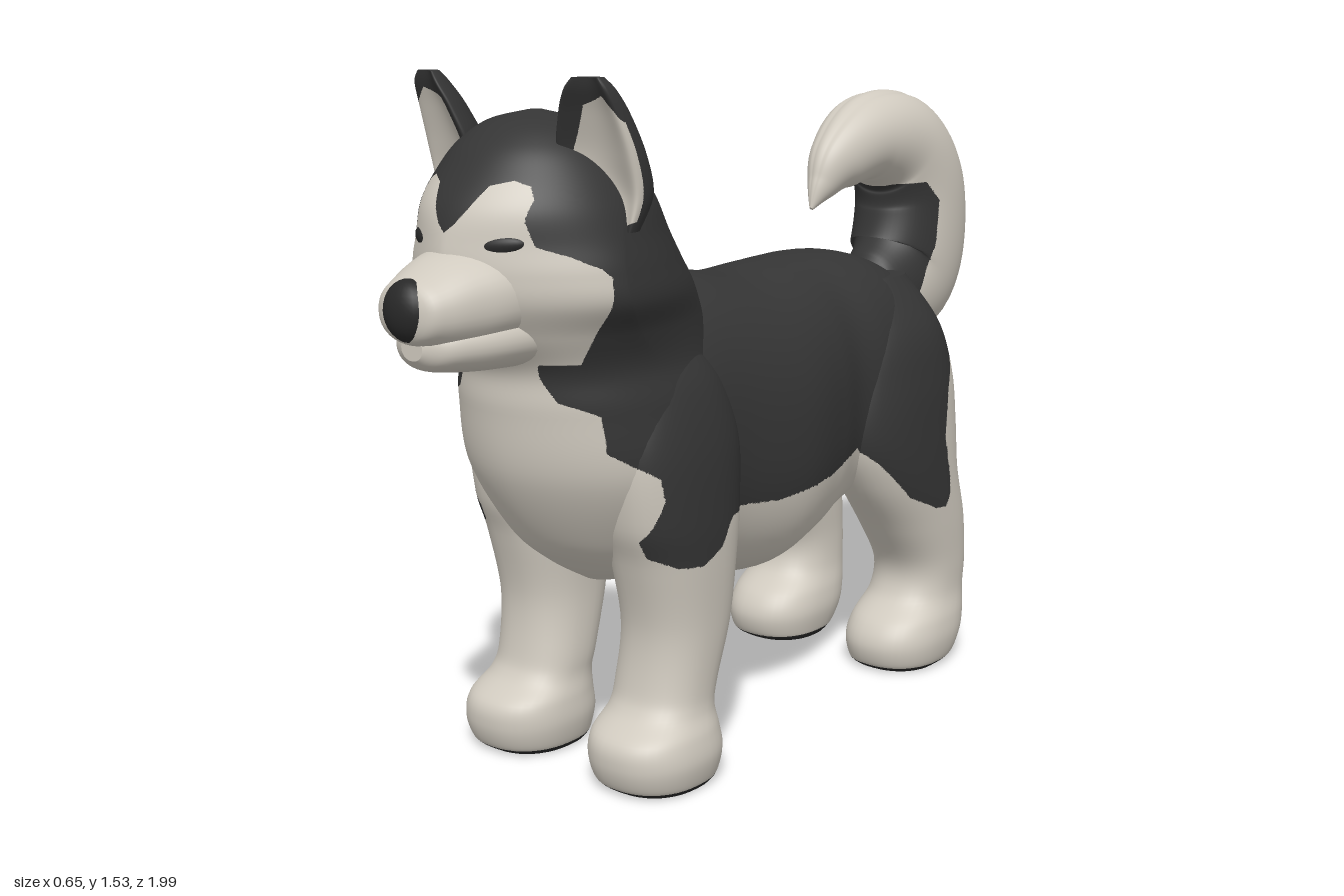
import * as THREE from 'three';

const mat = (name, color) => Object.assign(new THREE.MeshStandardMaterial({ color }), { name });

// Smooth interpolation through rows of numbers, t from 0 to 1
function sample(rows, t) {
  const f = t * (rows.length - 1), i = Math.min(Math.floor(f), rows.length - 2), u = f - i;
  const row = k => rows[Math.max(0, Math.min(rows.length - 1, k))];
  return row(i).map((b, k) => {
    const a = row(i - 1)[k], c = row(i + 1)[k], d = row(i + 2)[k];
    return b + 0.5 * u * (c - a + u * (2 * a - 5 * b + 4 * c - d + u * (3 * (b - c) + d - a)));
  });
}

// Rounded-square cosine and sine for fuller or sharper cross-sections
const soft = (v, n) => Math.sign(v) * Math.abs(v) ** (2 / n);

function inside(poly, x, y) {
  let hit = false;
  for (let i = 0, j = poly.length - 1; i < poly.length; j = i++) {
    const [ax, ay] = poly[i], [bx, by] = poly[j];
    if (ay > y !== by > y && x < ((bx - ax) * (y - ay)) / (by - ay) + ax) hit = !hit;
  }
  return hit;
}

// Closed skin over rings; rule(x, y, z, sine of ring angle) picks the material
function loft(name, materials, along, around, ring, rule) {
  const verts = [], tris = [];
  const addRing = t => {
    for (let j = 0; j < around; j++) {
      const a = (j / around) * Math.PI * 2;
      verts.push([...ring(t, a), Math.sin(a)]);
    }
  };
  for (let i = 0; i <= along; i++) addRing(i / along);
  for (let i = 0; i < along; i++) for (let j = 0; j < around; j++) {
    const k = (j + 1) % around, a = i * around + j, b = i * around + k;
    tris.push([a, b, a + around], [b, b + around, a + around]);
  }
  // End caps have their own ring so the rim stays crisp
  for (const t of [0, 1]) {
    const start = verts.length;
    addRing(t);
    verts.push([0, 1, 2, 3].map(k => verts.slice(start).reduce((s, v) => s + v[k], 0) / around));
    for (let j = 0; j < around; j++) {
      const a = start + j, b = start + ((j + 1) % around);
      tris.push(t ? [a, b, start + around] : [b, a, start + around]);
    }
  }
  // Face outwards: flip all corners when the enclosed volume is negative
  const P = i => new THREE.Vector3(...verts[i].slice(0, 3));
  let volume = 0;
  for (const [a, b, c] of tris) volume += P(a).dot(P(b).cross(P(c)));
  if (volume < 0) tris.forEach(t => t.reverse());
  const base = new THREE.BufferGeometry();
  base.setAttribute('position', new THREE.Float32BufferAttribute(verts.flatMap(v => v.slice(0, 3)), 3));
  base.setIndex(tris.flat());
  base.computeVertexNormals();
  verts.forEach((v, i) => v.push(...base.attributes.normal.array.slice(i * 3, i * 3 + 3)));

  // Split faces that straddle a colour border so the border runs clean
  const lists = materials.map(() => []);
  const middle = (a, b) => verts.push(verts[a].map((v, k) => (v + verts[b][k]) / 2)) - 1;
  const paint = (a, b, c, depth) => {
    const [ma, mb, mc] = [a, b, c].map(i => rule(...verts[i]));
    if (depth === 0 || (ma === mb && mb === mc)) {
      lists[mb === mc ? mb : ma].push(a, b, c);
      return;
    }
    const ab = middle(a, b), bc = middle(b, c), ca = middle(c, a);
    for (const t of [[a, ab, ca], [ab, b, bc], [ca, bc, c], [ab, bc, ca]]) paint(...t, depth - 1);
  };
  for (const t of tris) paint(...t, 3);
  const g = new THREE.BufferGeometry();
  g.setAttribute('position', new THREE.Float32BufferAttribute(verts.flatMap(v => v.slice(0, 3)), 3));
  g.setAttribute('normal', new THREE.Float32BufferAttribute(verts.flatMap(v => v.slice(4)), 3));
  g.setIndex(lists.flat());
  let start = 0;
  lists.forEach((l, i) => { if (l.length) g.addGroup(start, l.length, i); start += l.length; });
  const mesh = new THREE.Mesh(g, materials);
  mesh.name = name;
  return mesh;
}

// Ring makers: rows [z, yLow, yHigh, halfWidth] and rows [y, zBack, zFront, xInner, xOuter]
const lengthwise = (rows, n) => (t, a) => {
  const [z, y0, y1, w] = sample(rows, t);
  return [w * soft(Math.cos(a), n), (y0 + y1) / 2 + ((y1 - y0) / 2) * soft(Math.sin(a), n), z];
};
const upright = (rows, side, n) => (t, a) => {
  const [y, z0, z1, x0, x1] = sample(rows, t);
  return [side * ((x0 + x1) / 2 + ((x1 - x0) / 2) * soft(Math.cos(a), n)), y,
    (z0 + z1) / 2 + ((z1 - z0) / 2) * soft(Math.sin(a), n)];
};

// Dark saddle seen from the side (z, y)
const coat = [[0.7, 1.6], [0.72, 0.96], [0.69, 0.88], [0.63, 0.85], [0.62, 0.77], [0.53, 0.71], [0.52, 0.66],
  [0.55, 0.57], [0.53, 0.53], [0.48, 0.505], [0.42, 0.5], [0.36, 0.53], [0.32, 0.59], [0.1, 0.57], [-0.1, 0.59],
  [-0.24, 0.62], [-0.3, 0.57], [-0.4, 0.47], [-0.5, 0.425], [-0.545, 0.42], [-0.565, 0.45], [-0.565, 0.5],
  [-0.54, 0.6], [-0.57, 0.72], [-0.62, 0.79], [-0.67, 0.85], [-0.75, 1.6]];
// Pale face mask seen from the front (|x|, y)
const mask = [[-0.01, 0.9], [0.2, 0.95], [0.25, 1.0], [0.31, 1.08], [0.285, 1.13], [0.26, 1.165], [0.22, 1.19],
  [0.17, 1.21], [0.15, 1.26], [0.155, 1.3], [0.14, 1.325], [0.11, 1.335], [0.07, 1.325], [0.045, 1.28],
  [0.022, 1.25], [-0.01, 1.225]];
// Pale inside of the ear seen from the front (|x|, y)
const earPatch = [[0.15, 1.37], [0.2, 1.48], [0.25, 1.5], [0.275, 1.47], [0.31, 1.4], [0.31, 1.26], [0.25, 1.24],
  [0.2, 1.3]];
// Dark patch at the root of the tail (z, y)
const tailPatch = [[-0.4, 0.95], [-0.6, 1.17], [-0.66, 1.205], [-0.72, 1.21], [-0.765, 1.16], [-0.755, 1.05],
  [-0.71, 0.94], [-0.65, 0.8], [-0.4, 0.8]];

export function createModel() {
  const cream = mat('cream fur', 0xd0cabf), dark = mat('dark fur', 0x353535), black = mat('black skin', 0x282828);
  const fur = [cream, dark, black];
  const dog = new THREE.Group();
  dog.name = 'dog';
  const coatRule = (x, y, z) => (inside(coat, z, y) ? 1 : 0);

  dog.add(loft('torso', fur, 100, 80, lengthwise([
    [0.55, 0.62, 0.95, 0.14], [0.45, 0.48, 1.02, 0.23], [0.35, 0.41, 1.07, 0.255], [0.2, 0.375, 1.085, 0.265],
    [0, 0.34, 1.055, 0.29], [-0.15, 0.365, 1.06, 0.27], [-0.25, 0.4, 1.065, 0.25], [-0.35, 0.45, 1.065, 0.26],
    [-0.45, 0.52, 1.055, 0.25], [-0.55, 0.6, 1.02, 0.22], [-0.63, 0.68, 0.95, 0.16], [-0.68, 0.77, 0.87, 0.04],
  ], 2.3), coatRule));

  // Chest, neck and skull: [y, zBack, zWidest, zFront, halfWidth, front roundness]
  const headRows = [
    [0.42, 0.36, 0.4, 0.45, 0.05, 2], [0.47, 0.3, 0.4, 0.53, 0.14, 2], [0.55, 0.26, 0.41, 0.62, 0.21, 1.9],
    [0.7, 0.2, 0.43, 0.705, 0.28, 1.9], [0.85, 0.16, 0.45, 0.73, 0.27, 2], [0.94, 0.16, 0.48, 0.74, 0.25, 2],
    [1.02, 0.18, 0.56, 0.81, 0.262, 1.65], [1.09, 0.225, 0.62, 0.855, 0.288, 1.5],
    [1.15, 0.27, 0.63, 0.865, 0.283, 1.5], [1.21, 0.31, 0.62, 0.86, 0.267, 1.55],
    [1.28, 0.35, 0.6, 0.84, 0.245, 1.75], [1.35, 0.4, 0.59, 0.79, 0.205, 1.9], [1.4, 0.45, 0.59, 0.745, 0.16, 2],
    [1.44, 0.51, 0.59, 0.685, 0.1, 2], [1.46, 0.575, 0.59, 0.61, 0.015, 2],
  ];
  dog.add(loft('chestNeckAndHead', fur, 120, 100, (t, a) => {
    const [y, zb, zm, zf, w, n] = sample(headRows, t), s = Math.sin(a), e = s > 0 ? n : 2.1;
    return [w * soft(Math.cos(a), e), y, zm + (s > 0 ? zf - zm : zm - zb) * soft(s, e)];
  }, (x, y, z) => {
    if (y < 0.96) return coatRule(x, y, z);
    return z > 0.665 && inside(mask, Math.abs(x), y) ? 0 : 1;
  }));

  // Muzzle resting on a jaw, with a slight crease for the mouth
  dog.add(loft('muzzle', fur, 24, 40, lengthwise([
    [0.7, 1.01, 1.2, 0.16], [0.8, 1.005, 1.205, 0.145], [0.87, 1.005, 1.19, 0.122], [0.93, 1.015, 1.162, 0.098],
    [0.965, 1.03, 1.142, 0.075], [0.98, 1.06, 1.11, 0.03],
  ], 2.2), () => 0));
  dog.add(loft('lowerJaw', fur, 20, 36, lengthwise([
    [0.68, 0.945, 1.1, 0.15], [0.8, 0.95, 1.09, 0.13], [0.88, 0.958, 1.075, 0.1], [0.925, 0.968, 1.06, 0.072],
    [0.95, 0.99, 1.04, 0.03],
  ], 2.1), () => 0));

  const ball = (name, material, p, s, yaw = 0, roll = 0) => {
    const m = new THREE.Mesh(new THREE.SphereGeometry(1, 24, 16), material);
    m.name = name;
    m.position.set(...p);
    m.scale.set(...s);
    m.rotation.set(0, yaw, roll);
    dog.add(m);
  };
  ball('nose', black, [0, 1.09, 0.95], [0.062, 0.064, 0.045]);

  const frontRows = [
    [0, 0.32, 0.56, 0.08, 0.3], [0.02, 0.31, 0.585, 0.065, 0.315], [0.07, 0.3, 0.6, 0.055, 0.325],
    [0.12, 0.305, 0.59, 0.06, 0.315], [0.165, 0.31, 0.53, 0.07, 0.295], [0.22, 0.295, 0.505, 0.07, 0.29],
    [0.35, 0.25, 0.495, 0.075, 0.295], [0.5, 0.23, 0.53, 0.07, 0.305], [0.6, 0.22, 0.565, 0.08, 0.308],
    [0.75, 0.22, 0.58, 0.1, 0.3], [0.88, 0.26, 0.55, 0.1, 0.27], [0.97, 0.33, 0.5, 0.12, 0.22],
  ];
  const hindRows = [
    [0, -0.63, -0.41, 0.08, 0.29], [0.02, -0.67, -0.385, 0.07, 0.31], [0.07, -0.7, -0.375, 0.06, 0.32],
    [0.12, -0.715, -0.4, 0.065, 0.315], [0.18, -0.72, -0.47, 0.08, 0.3], [0.26, -0.725, -0.48, 0.085, 0.3],
    [0.37, -0.72, -0.405, 0.08, 0.305], [0.5, -0.69, -0.3, 0.08, 0.308], [0.62, -0.69, -0.24, 0.07, 0.305],
    [0.75, -0.68, -0.25, 0.06, 0.295], [0.88, -0.64, -0.3, 0.06, 0.265], [1.0, -0.57, -0.4, 0.08, 0.18],
  ];
  const earRows = [
    [1.23, 0.57, 0.65, 0.23, 0.275], [1.3, 0.53, 0.68, 0.16, 0.292], [1.38, 0.55, 0.705, 0.125, 0.294],
    [1.46, 0.59, 0.72, 0.148, 0.284], [1.51, 0.625, 0.725, 0.175, 0.272], [1.535, 0.65, 0.71, 0.195, 0.255],
  ];
  const legRule = (x, y, z) => {
    if (y < 0.014) return 2;
    return (Math.abs(x) > 0.15 || y > 0.74) && inside(coat, z, y) ? 1 : 0;
  };

  for (const side of [1, -1]) {
    const label = side > 0 ? 'left' : 'right';
    dog.add(loft(label + 'FrontLeg', fur, 72, 40, upright(frontRows, side, 2.3), legRule));
    dog.add(loft(label + 'HindLeg', fur, 72, 40, upright(hindRows, side, 2.3), legRule));
    // Ear with a dished pale front, turned slightly outwards
    dog.add(loft(label + 'Ear', fur, 32, 48, (t, a) => {
      const [y, z0, z1, x0, x1] = sample(earRows, t), s = Math.sin(a), h = (x1 - x0) / 2, d = (z1 - z0) / 2;
      const dx = h * Math.cos(a), dish = 1.1 * Math.max(0, s) ** 2;
      return [side * ((x0 + x1) / 2 + dx), y, (z0 + z1) / 2 + d * (s - dish) - dx * 0.25];
    }, (x, y, z, s) => (s > 0.05 && inside(earPatch, Math.abs(x), y) ? 0 : 1)));
    ball(label + 'Eye', black, [side * 0.108, 1.211, 0.806], [0.052, 0.02, 0.016], side * 0.5, side * 0.1);
  }

  // Curled tail: [z, y, radius in the curl plane, half width]
  const tailRows = [
    [-0.55, 0.9, 0.08, 0.07], [-0.65, 0.91, 0.125, 0.1], [-0.79, 0.975, 0.185, 0.128], [-0.82, 1.16, 0.165, 0.135],
    [-0.745, 1.29, 0.14, 0.128], [-0.605, 1.325, 0.11, 0.108], [-0.48, 1.275, 0.08, 0.07],
    [-0.415, 1.215, 0.04, 0.035], [-0.375, 1.165, 0.005, 0.005],
  ];
  dog.add(loft('tail', fur, 90, 64, (t, a) => {
    const [z, y, r, w] = sample(tailRows, t);
    const p = sample(tailRows, Math.max(0, t - 0.01)), q = sample(tailRows, Math.min(1, t + 0.01));
    const dz = q[0] - p[0], dy = q[1] - p[1], l = Math.hypot(dz, dy);
    // Two shallow grooves part the fur along the outer edge
    const groove = Math.cos(a) > 0 ? 0.05 * Math.exp(-(((Math.abs(Math.sin(a)) - 0.25) / 0.08) ** 2)) : 0;
    const c = r * (1 - groove) * Math.cos(a);
    return [w * Math.sin(a), y + (c * dz) / l, z - (c * dy) / l];
  }, (x, y, z) => (inside(tailPatch, z, y) ? 1 : 0)));

  return dog;
}
